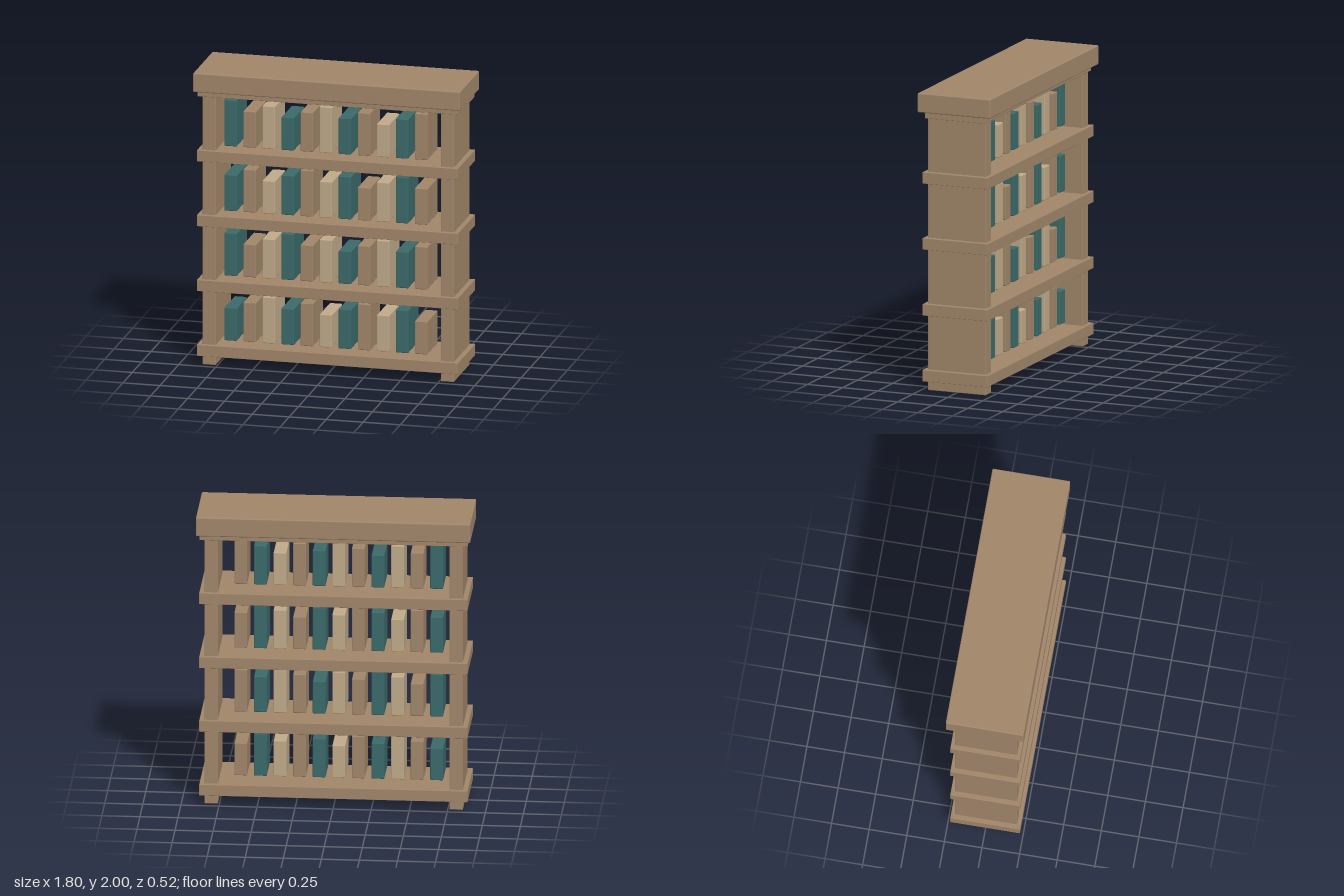
import * as THREE from 'three';
import { RoundedBoxGeometry } from 'three/addons/geometries/RoundedBoxGeometry.js';

export function createModel() {
  const group = new THREE.Group();
  const mat = (name, color) => {
    const m = new THREE.MeshStandardMaterial({ color });
    m.name = name;
    return m;
  };
  const wood = mat('wood', 0xa1866a);
  const tan = mat('tan', 0xc0aa8a);
  const teal = mat('teal', 0x3b6a6a);

  // Box with slightly softened edges, placed by its base height
  const box = (name, material, w, h, d, x, base, z = 0, r = 0.006) => {
    const mesh = new THREE.Mesh(new RoundedBoxGeometry(w, h, d, 2, r), material);
    mesh.name = name;
    mesh.position.set(x, base + h / 2, z);
    group.add(mesh);
  };

  // Side panels, standing on the ground
  for (const s of [-1, 1]) {
    box(s > 0 ? 'leftPanel' : 'rightPanel', wood, 0.09, 1.85, 0.414, s * 0.805, 0);
  }

  // Crown board and the thin moulding under it
  box('crownBoard', wood, 1.804, 0.13, 0.518, 0, 1.87, 0, 0.008);
  box('crownMoulding', wood, 1.764, 0.05, 0.43, 0, 1.83, 0, 0.003);

  // Four shelves, each with a row of books
  const step = 0.4425;
  const bookColors = [teal, wood, tan];
  for (let row = 0; row < 4; row++) {
    const y = 0.063 + row * step;
    box('shelf', wood, 1.764, 0.077, 0.464, 0, y, 0, 0.003);
    for (let i = 0; i < 11; i++) {
      const height = 0.225 + 0.0225 * ((2 * i + 3 * row) % 5);
      box('book', bookColors[i % 3], 0.085, height, 0.275, -0.669 + i * 0.1287, y + 0.102, 0.035);
    }
  }
  return group;
}
